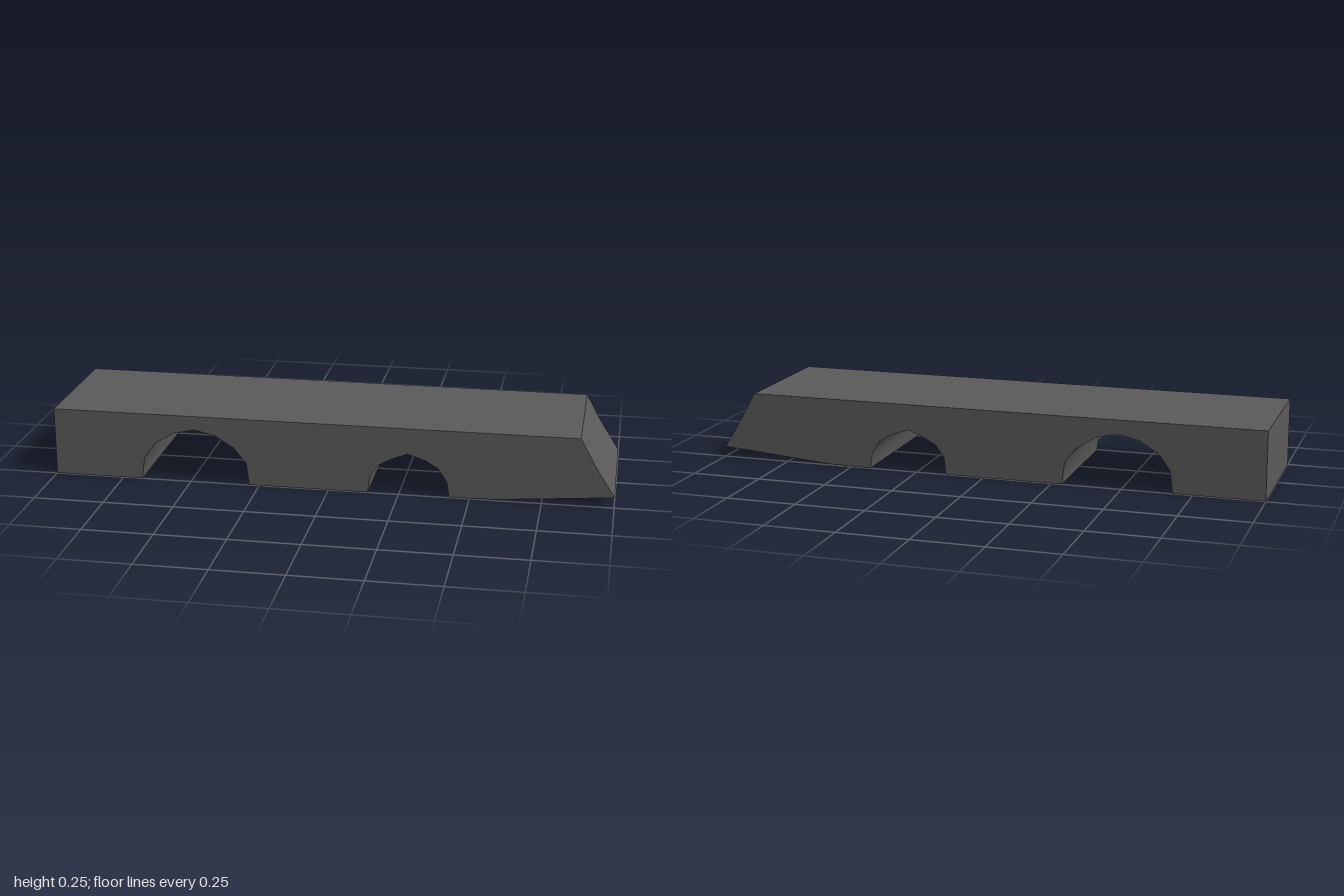
import * as THREE from 'three';
import { toCreasedNormals } from 'three/addons/utils/BufferGeometryUtils.js';

const HEIGHT = 0.245, WIDTH = 0.495;

// Wheel arch outlines, left to right along the underside
const rearArch = [
  [-0.68, 0], [-0.67, 0.08], [-0.63, 0.135], [-0.56, 0.178], [-0.485, 0.195],
  [-0.41, 0.178], [-0.34, 0.135], [-0.297, 0.08], [-0.287, 0],
];
const frontArch = [
  [0.14, 0], [0.147, 0.06], [0.178, 0.105], [0.225, 0.13], [0.28, 0.152],
  [0.345, 0.13], [0.39, 0.103], [0.42, 0.055], [0.428, 0],
];

export function createModel() {
  const group = new THREE.Group();
  group.name = 'vehicleBody';

  // Side outline: flat tail, two arches, rising chin, sloped nose
  const outline = [
    [-1, 0], ...rearArch, ...frontArch,
    [0.59, 0.003], [1, 0.037], [0.925, 0.157], [0.877, HEIGHT], [-1, HEIGHT],
  ];
  const shape = new THREE.Shape(outline.map(([x, y]) => new THREE.Vector2(x, y)));

  // Extrude across the width; arches stay smooth, other edges sharp
  const geometry = new THREE.ExtrudeGeometry(shape, { depth: WIDTH, bevelEnabled: false });
  geometry.translate(0, 0, -WIDTH / 2);

  const body = new THREE.Mesh(
    toCreasedNormals(geometry, 0.75),
    new THREE.MeshStandardMaterial({ color: 0x5a5a5a })
  );
  body.name = 'bodyShell';
  group.add(body);
  return group;
}
